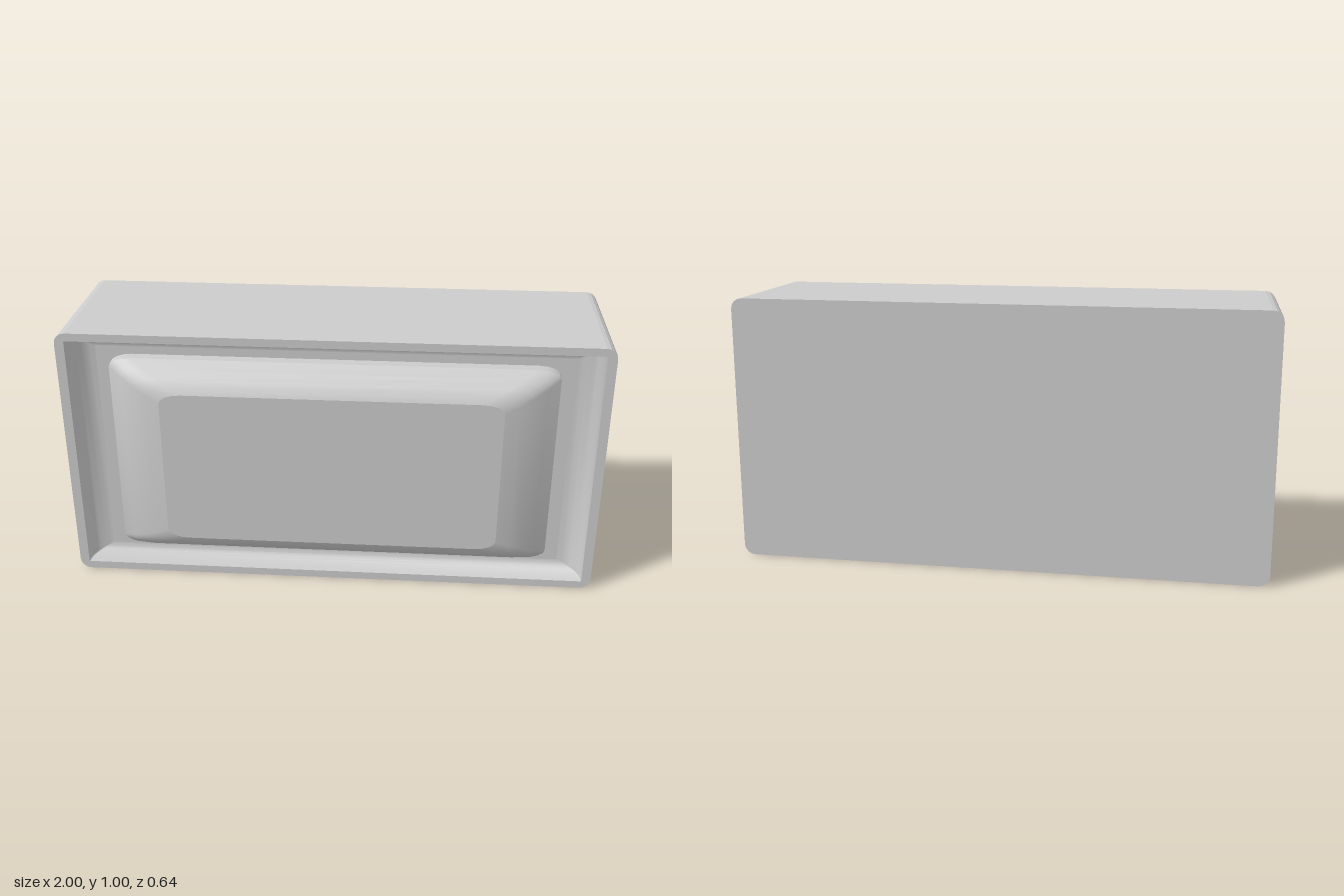
import * as THREE from 'three';
import { toCreasedNormals } from 'three/addons/utils/BufferGeometryUtils.js';

const MID = 0.5;   // height of the centre line
const SEG = 4;     // facets per rounded corner

// Rounded rectangle, counter-clockwise from the front; rx and ry are the corner radii
function ring({ w, h, rx, ry, z }) {
  const pts = [];
  [[1, 1], [-1, 1], [-1, -1], [1, -1]].forEach(([sx, sy], q) => {
    for (let k = 0; k <= SEG; k++) {
      const a = (q + k / SEG) * Math.PI / 2;
      pts.push([sx * (w - rx) + rx * Math.cos(a), MID + sy * (h - ry) + ry * Math.sin(a), z]);
    }
  });
  return pts;
}

// Skin through a series of rings
function loft(sections, crease) {
  const rings = sections.map(ring), n = rings[0].length, index = [];
  for (let i = 0; i < rings.length - 1; i++) {
    for (let j = 0; j < n; j++) {
      const k = (j + 1) % n;
      const a = i * n + j, b = i * n + k, c = a + n, d = b + n;
      index.push(a, b, d, a, d, c);
    }
  }
  const geo = new THREE.BufferGeometry();
  geo.setAttribute('position', new THREE.Float32BufferAttribute(rings.flat(2), 3));
  geo.setIndex(index);
  return toCreasedNormals(geo, crease);
}

// Flat face filling one ring
function cap(section, back = false) {
  const shape = new THREE.Shape(ring(section).map(([x, y]) => new THREE.Vector2(x, y)));
  const geo = new THREE.ShapeGeometry(shape);
  if (back) geo.rotateY(Math.PI);
  return geo.translate(0, 0, section.z);
}

export function createModel() {
  const model = new THREE.Group();
  model.name = 'panelledBlock';
  const grey = new THREE.MeshStandardMaterial({ color: 0xcccccc });
  grey.name = 'lightGrey';
  const add = (name, geo) => {
    const mesh = new THREE.Mesh(geo, grey);
    mesh.name = name;
    model.add(mesh);
  };

  // Outer casing with softened long edges and a narrow front rim
  const back = { w: 1, h: 0.5, rx: 0.04, ry: 0.04, z: -0.32 };
  const front = { ...back, z: 0.255 };
  const lip = { w: 0.965, h: 0.47, rx: 0.004, ry: 0.004, z: 0.255 };
  add('casing', loft([back, front, lip], 0.05));
  add('backFace', cap(back, true));

  // Hollow cove curving from the rim down to the recessed floor
  const floorZ = 0.175, cove = [];
  for (let i = 0; i <= 8; i++) {
    const a = i / 8 * Math.PI / 2, s = 1 - Math.cos(a);
    cove.push({ ...lip, w: 0.965 - 0.09 * s, h: 0.47 - 0.045 * s,
      z: 0.255 - (0.255 - floorZ) * Math.sin(a) });
  }
  add('cove', loft(cove, 0.4));
  add('recessFloor', cap(cove[8]));

  // Raised centre panel: short upright edge, then a domed bevel
  const edge = { w: 0.82, h: 0.395, rx: 0.08, ry: 0.035, z: floorZ };
  const dome = [0.215, 0.257, 0.287, 0.308, 0.32].map((z, i) => (
    { ...edge, w: 0.82 - 0.2 * i / 4, h: 0.395 - 0.095 * i / 4, z }));
  add('panelEdge', loft([edge, dome[0]], 0.5));
  add('panelBevel', loft(dome, 0.5));
  add('panelFace', cap(dome[4]));

  return model;
}
